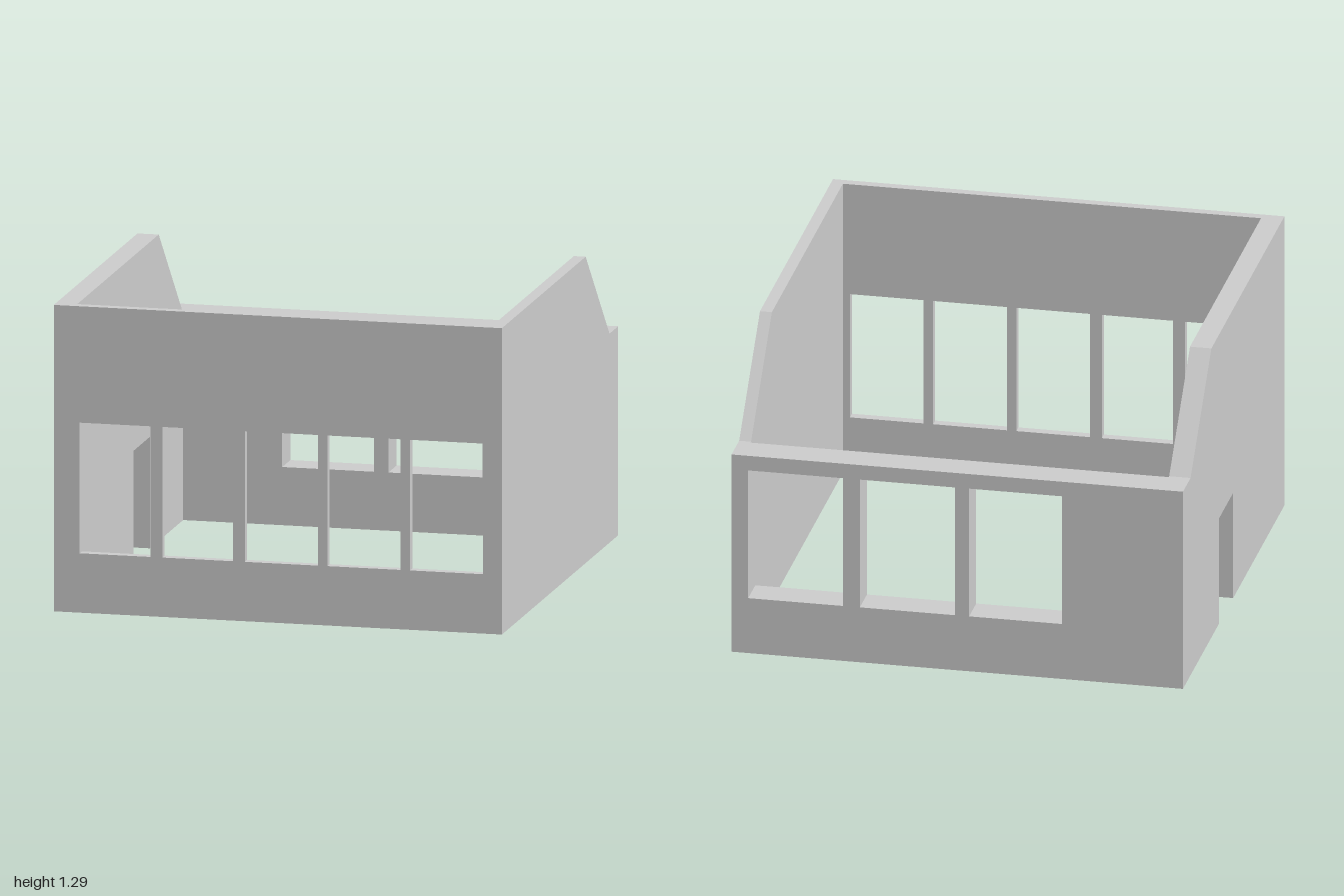
import * as THREE from 'three';

const material = new THREE.MeshStandardMaterial({ color: 0xcccccc, flatShading: true });

function polygon(points) {
  return new THREE.Shape(points.map(([a, b]) => new THREE.Vector2(a, b)));
}

// Upright rectangle as corner points
function rect(a0, b0, a1, b1) {
  return [[a0, b0], [a1, b0], [a1, b1], [a0, b1]];
}

function extrude(name, shape, depth) {
  const geometry = new THREE.ExtrudeGeometry(shape, { depth, bevelEnabled: false });
  const mesh = new THREE.Mesh(geometry, material);
  mesh.name = name;
  return mesh;
}

// Full-width wall facing z, pierced by a row of windows given as [x0, x1]
function windowWall(name, height, z0, z1, sill, head, windows) {
  const shape = polygon(rect(-0.95, 0, 0.95, height));
  for (const [x0, x1] of windows) {
    shape.holes.push(polygon(rect(x0, sill, x1, head)));
  }
  const wall = extrude(name, shape, z1 - z0);
  wall.position.z = z0;
  return wall;
}

// Side wall drawn in (z, y) and extruded along x between x0 and x1
function sideWall(name, x0, x1, basePoints) {
  const top = [[0.96, 1.29], [-0.44, 1.29], [-0.85, 0.88], [-0.86, 0.88]];
  const wall = extrude(name, polygon([...basePoints, ...top]), x1 - x0);
  wall.geometry.rotateY(-Math.PI / 2);
  wall.position.x = x1;
  return wall;
}

export function createModel() {
  const house = new THREE.Group();
  house.name = 'roomWalls';

  // Tall front wall with five windows
  const frontWindows = [[-0.84, -0.54], [-0.49, -0.19], [-0.14, 0.17], [0.21, 0.52], [0.56, 0.87]];
  house.add(windowWall('frontWall', 1.29, 0.96, 1, 0.25, 0.8, frontWindows));

  // Low, thick back wall with three windows
  const backWindows = [[-0.44, -0.05], [0.01, 0.41], [0.48, 0.88]];
  house.add(windowWall('backWall', 0.88, -1, -0.86, 0.245, 0.815, backWindows));

  // Plain left wall
  house.add(sideWall('leftWall', 0.9, 0.95, [[-0.86, 0], [0.96, 0]]));

  // Thicker right wall with a doorway open to the ground
  const door = [[-0.29, 0], [-0.29, 0.47], [-0.01, 0.47], [-0.01, 0]];
  house.add(sideWall('rightWall', -0.95, -0.86, [[-0.86, 0], ...door, [0.96, 0]]));

  return house;
}
